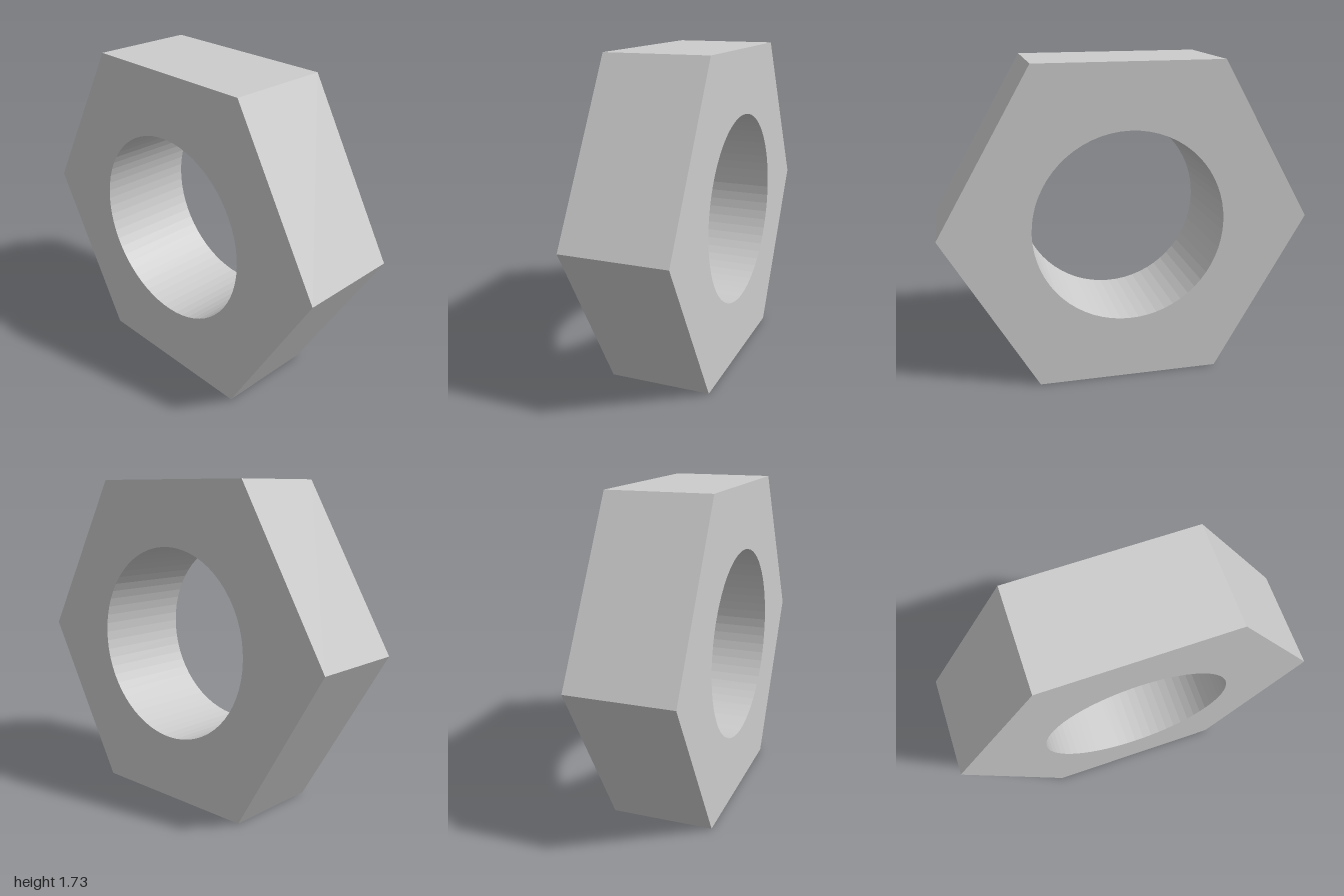
import * as THREE from 'three';

const RADIUS = 1;        // centre to corner
const HOLE_RADIUS = 0.52;
const THICKNESS = 0.556;

export function createModel() {
  const group = new THREE.Group();
  group.name = 'hexNut';

  // Hexagonal outline, flat side down
  const outline = new THREE.Shape();
  for (let i = 0; i < 6; i++) {
    const a = (i * Math.PI) / 3;
    const x = RADIUS * Math.cos(a), y = RADIUS * Math.sin(a);
    if (i === 0) outline.moveTo(x, y);
    else outline.lineTo(x, y);
  }
  outline.closePath();

  // Round bore through the middle
  const bore = new THREE.Path();
  bore.absarc(0, 0, HOLE_RADIUS, 0, Math.PI * 2, true);
  outline.holes.push(bore);

  const geometry = new THREE.ExtrudeGeometry(outline, {
    depth: THICKNESS,
    bevelEnabled: false,
    curveSegments: 32, // gives a 64-sided bore
  });
  geometry.translate(0, RADIUS * Math.sin(Math.PI / 3), -THICKNESS / 2);

  const body = new THREE.Mesh(
    geometry,
    new THREE.MeshStandardMaterial({ color: 0xcccccc, flatShading: true })
  );
  body.name = 'nutBody';
  group.add(body);
  return group;
}
